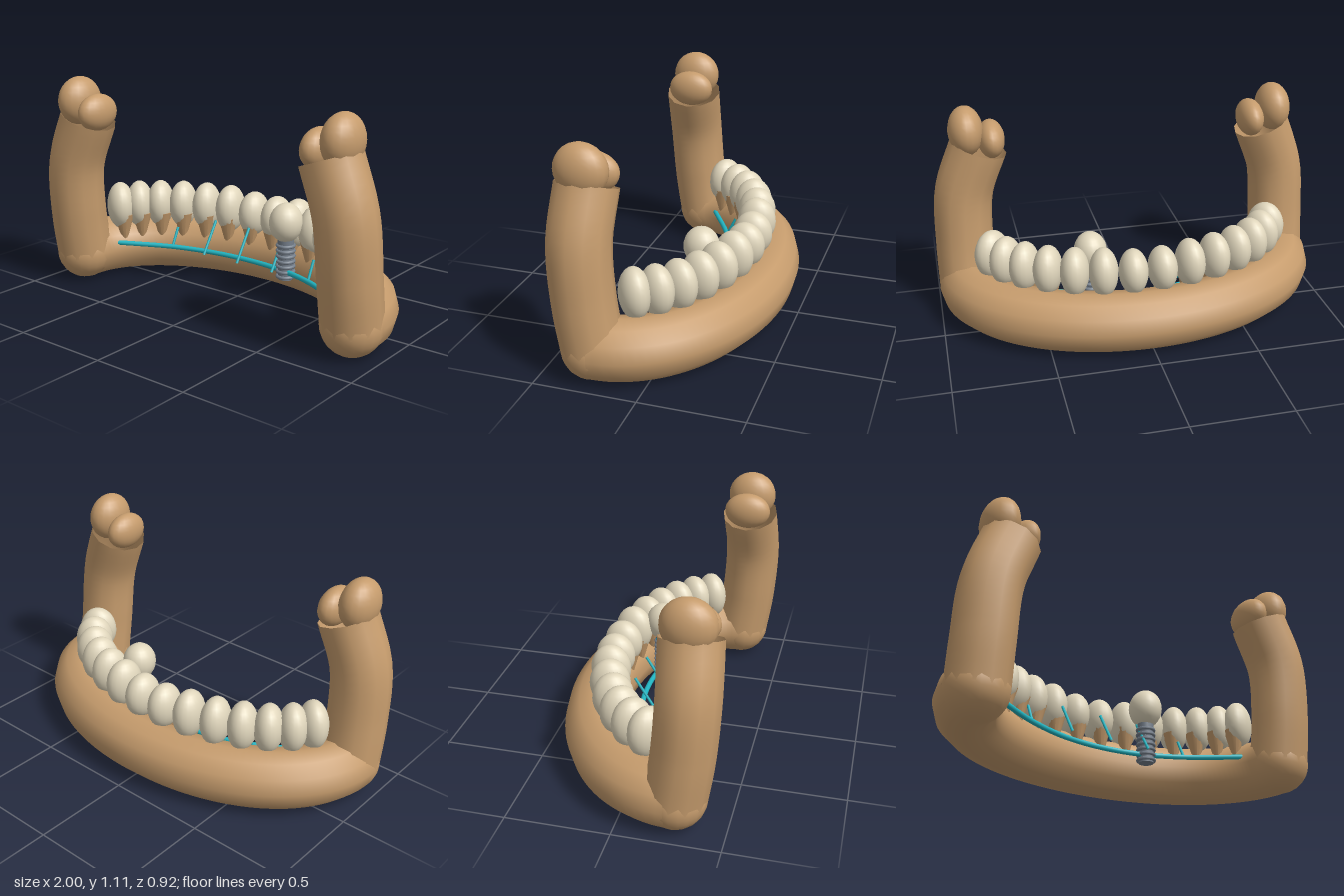
import * as THREE from 'three';

export function createModel() {
  const model = new THREE.Group();
  const mat = (name, color, side = THREE.FrontSide) => {
    const m = new THREE.MeshStandardMaterial({ color, side });
    m.name = name;
    return m;
  };
  const bone = mat('bone', 0xc69c6d, THREE.DoubleSide);
  const enamel = mat('enamel', 0xe0d6bc);
  const teal = mat('teal', 0x22b5c2);
  const metal = mat('metal', 0x76808c);

  const V = (x, y, z) => new THREE.Vector3(x, y, z);
  const add = (name, geometry, material, parent = model) => {
    const mesh = new THREE.Mesh(geometry, material);
    mesh.name = name;
    parent.add(mesh);
    return mesh;
  };
  const ellipsoid = (name, material, p, r, parent = model) => {
    const mesh = add(name, new THREE.SphereGeometry(1, 20, 14), material, parent);
    mesh.position.set(...p);
    mesh.scale.set(...r);
    return mesh;
  };
  const tube = (name, points, radius, segments, sides, material, parent = model) =>
    add(name, new THREE.TubeGeometry(new THREE.CatmullRomCurve3(points), segments, radius, sides), material, parent);

  // Half-ellipse arch, open towards the front
  const arch = (a, b, t, y) => V(a * Math.sin(t), y, 0.25 - b * Math.cos(t));

  // Jaw body
  const jaw = [];
  for (let i = 0; i <= 24; i++) jaw.push(arch(0.85, 0.565, -Math.PI / 2 + (i / 24) * Math.PI, 0.157));
  tube('jawBody', jaw, 0.15, 64, 12, bone);

  // Upright branches with their rounded joint heads
  for (const s of [-1, 1]) {
    const branch = new THREE.Group();
    branch.name = s > 0 ? 'leftBranch' : 'rightBranch';
    model.add(branch);
    ellipsoid('jawAngle', bone, [s * 0.85, 0.153, 0.26], [0.148, 0.148, 0.148], branch);
    tube('upright', [V(s * 0.85, 0.15, 0.26), V(s * 0.85, 0.38, 0.293), V(s * 0.832, 0.66, 0.31),
      V(s * 0.745, 0.9, 0.3)], 0.147, 16, 12, bone, branch);
    ellipsoid('jointHead', bone, [s * 0.803, 0.985, 0.3], [0.088, 0.125, 0.127], branch);
    ellipsoid('jointKnob', bone, [s * 0.68, 0.935, 0.295], [0.068, 0.095, 0.122], branch);
  }

  // Teeth and their tapered roots along the inner side of the jaw
  for (const s of [-1, 1]) {
    for (let i = 0; i < 7; i++) {
      const t = s * (0.096 + i * 0.194);
      const p = arch(0.765, 0.487, t, i ? 0.39 : 0.385);
      const turn = -0.8 * Math.atan2(0.487 * Math.sin(t), 0.765 * Math.cos(t));
      const tooth = ellipsoid('tooth', enamel, p.toArray(), [0.073, i ? 0.127 : 0.117, 0.1]);
      tooth.rotation.y = turn;
      const root = add('root', new THREE.ConeGeometry(0.055, 0.2, 12), bone);
      root.position.copy(arch(0.73, 0.452, t, 0.25));
      root.rotation.x = Math.PI;
    }
  }

  // Curved support bar and its struts
  const bar = [[-0.7, 0.195, 0.155], [-0.44, 0.187, 0.01], [-0.22, 0.181, -0.062], [0, 0.179, -0.084],
    [0.22, 0.181, -0.062], [0.44, 0.187, 0.01], [0.7, 0.195, 0.155]].map((p) => V(...p));
  tube('supportBar', bar, 0.013, 48, 10, teal);
  for (const x of [-0.44, -0.22, 0, 0.22, 0.44]) {
    const outer = Math.abs(x) > 0.3;
    tube('strut', [V(x, 0.185, 0.008), V(x, outer ? 0.285 : 0.35, outer ? -0.04 : -0.095)], 0.007, 1, 8, teal);
  }

  // Threaded implant with a crown
  const implant = new THREE.Group();
  implant.name = 'implant';
  implant.position.set(0.255, 0, -0.065);
  model.add(implant);
  add('implantPost', new THREE.CylinderGeometry(0.042, 0.038, 0.21, 16), metal, implant).position.y = 0.245;
  for (let i = 0; i < 7; i++) {
    const thread = add('thread', new THREE.TorusGeometry(0.042, 0.009, 8, 20), metal, implant);
    thread.rotation.x = Math.PI / 2;
    thread.position.y = 0.155 + i * 0.027;
  }
  ellipsoid('crown', enamel, [0, 0.435, 0], [0.083, 0.1, 0.09], implant);

  return model;
}
